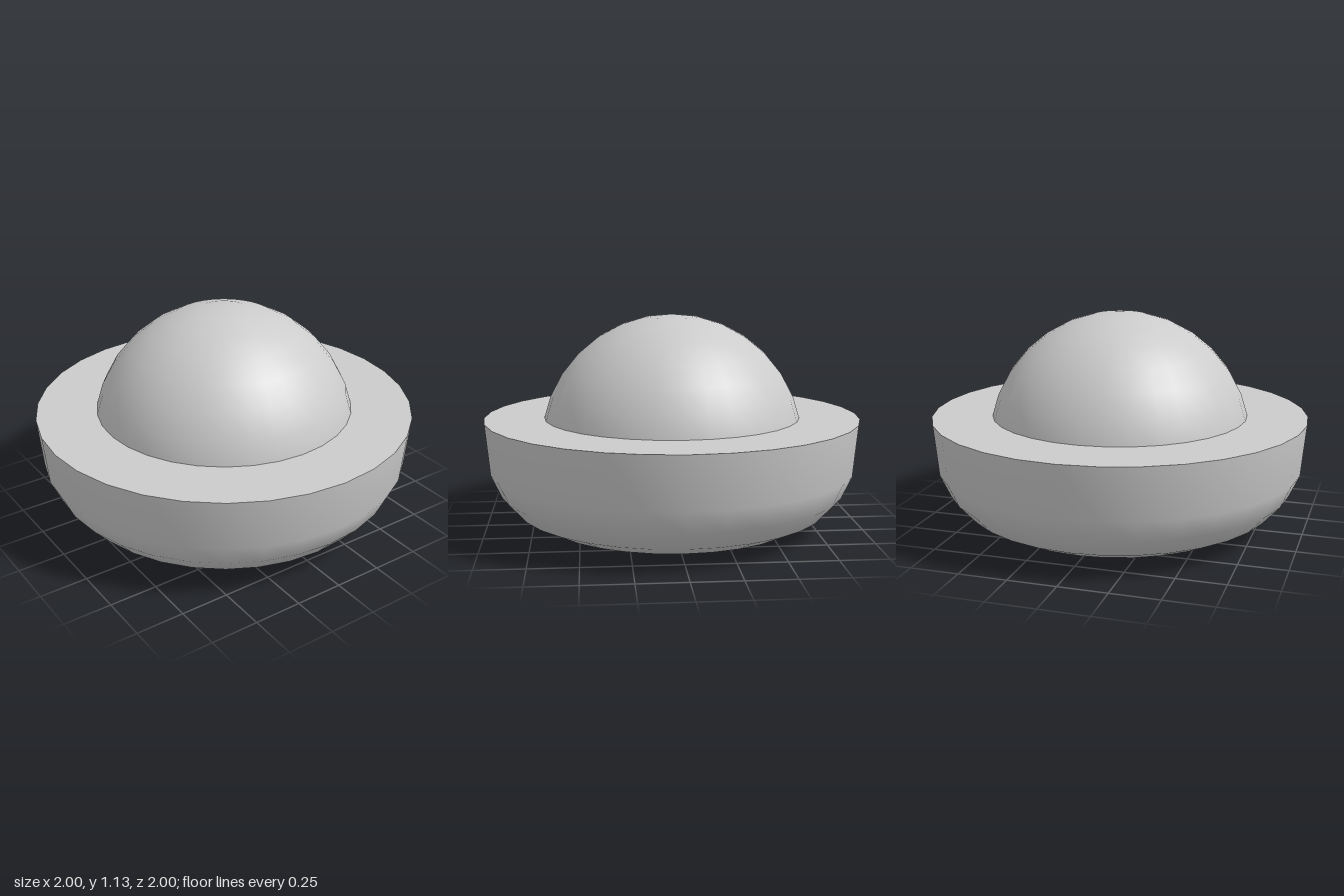
import * as THREE from 'three';

const SIDES = 32;
const RIM_Y = 0.59;

export function createModel() {
  const group = new THREE.Group();
  const material = new THREE.MeshStandardMaterial({ color: 0xcccccc });
  const add = (name, geometry) => {
    const mesh = new THREE.Mesh(geometry, material);
    mesh.name = name;
    group.add(mesh);
    return mesh;
  };

  // Rounded base, turned from its underside up to the rim
  const profile = [
    [0, 0], [0.48, 0.004], [0.56, 0.01], [0.71, 0.04],
    [0.83, 0.1], [0.92, 0.2], [0.975, 0.32], [1, RIM_Y],
  ].map(([r, y]) => new THREE.Vector2(r, y));
  add('base', new THREE.LatheGeometry(profile, SIDES));

  // Flat rim around the dome
  const rim = add('rim', new THREE.RingGeometry(0.67, 1, SIDES));
  rim.rotation.x = -Math.PI / 2;
  rim.position.y = RIM_Y;

  // Dome, ending just below the rim
  const dome = add('dome', new THREE.SphereGeometry(0.7, SIDES, 7, 0, Math.PI * 2, 0, Math.PI * 7 / 16));
  dome.position.y = 0.435;

  return group;
}
